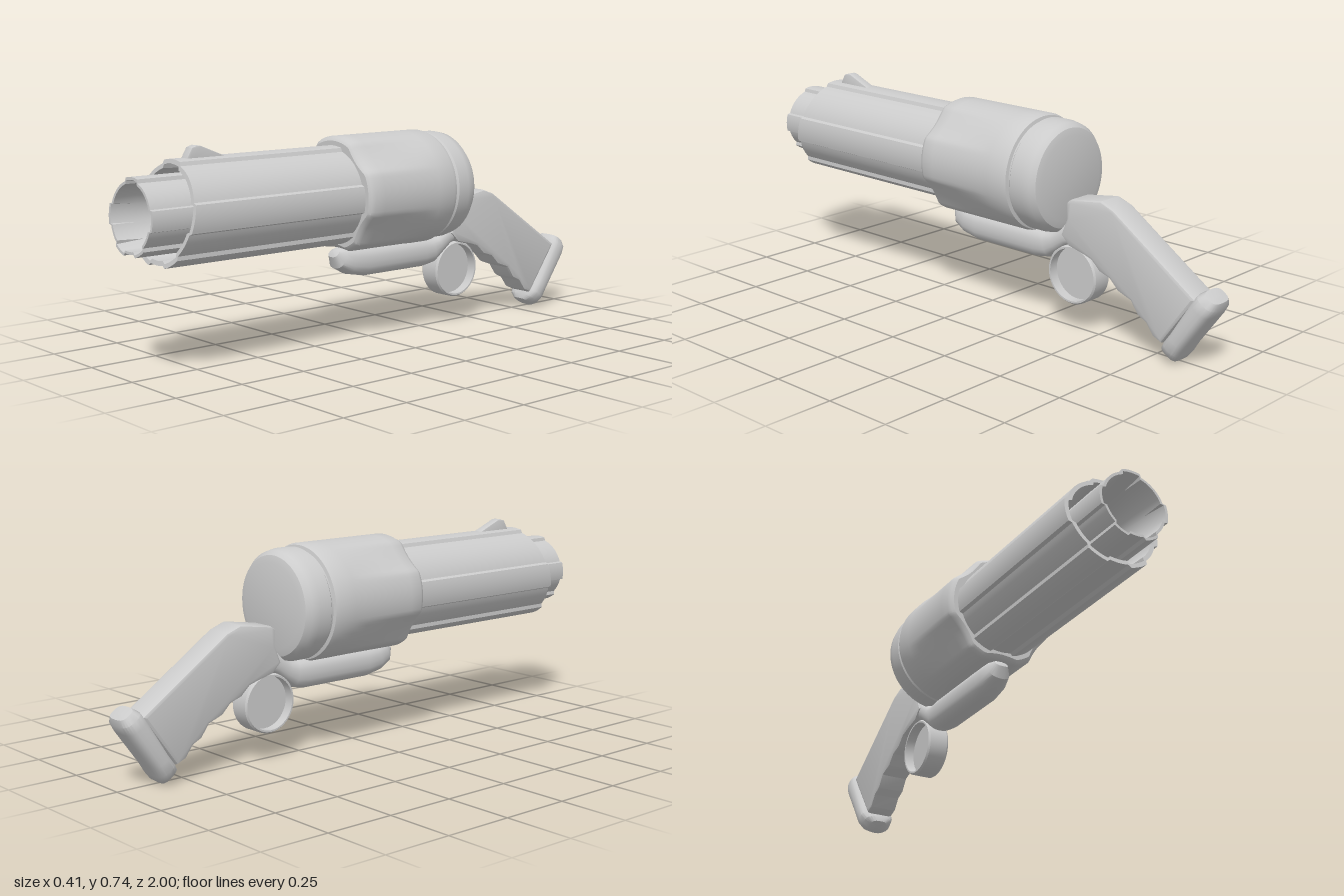
import * as THREE from 'three';
import { toCreasedNormals } from 'three/addons/utils/BufferGeometryUtils.js';

const AXIS_Y = 0.537;
const RAD = Math.PI / 180;
const material = new THREE.MeshStandardMaterial({ color: 0xcccccc });

// Smooth shading that keeps edges sharper than the given angle
function crease(geometry, degrees = 32) {
  geometry.scale(100, 100, 100);
  const out = toCreasedNormals(geometry, degrees * RAD);
  out.scale(0.01, 0.01, 0.01);
  return out;
}

function part(name, geometry) {
  const mesh = new THREE.Mesh(crease(geometry), material);
  mesh.name = name;
  return mesh;
}

// Skin a list of closed rings, each an equal-length list of [x, y, z]
function skin(rings) {
  const n = rings[0].length;
  const index = [];
  for (let i = 0; i < rings.length - 1; i++) {
    for (let j = 0; j < n; j++) {
      const k = (j + 1) % n;
      const a = i * n + j, b = i * n + k, c = (i + 1) * n + k, d = (i + 1) * n + j;
      index.push(a, b, c, a, c, d);
    }
  }
  const g = new THREE.BufferGeometry();
  g.setAttribute('position', new THREE.Float32BufferAttribute(rings.flat(2), 3));
  g.setIndex(index);
  return g;
}

// Turned form along z: profile of [radius, z, relief weight, slant], relief(angle) is added to the radius
function turned(profile, relief) {
  const n = 120;
  return skin(profile.map(([r, z, weight = 0, slant = 0]) =>
    Array.from({ length: n }, (_, j) => {
      const a = j / n * 360;
      const radius = r + weight * relief(a);
      const y = radius * Math.sin(a * RAD);
      return [radius * Math.cos(a * RAD), AXIS_Y + y, z + slant * y];
    })));
}

// Loft in the side plane: stations of [z, y, half thickness, half width]
function loft(stations, power = 0.8, n = 24) {
  const soft = v => Math.sign(v) * Math.abs(v) ** power;
  return skin(stations.map(([z, y, half, width], i) => {
    const p = stations[Math.max(i - 1, 0)];
    const q = stations[Math.min(i + 1, stations.length - 1)];
    const len = Math.hypot(q[0] - p[0], q[1] - p[1]);
    const tz = (q[0] - p[0]) / len, ty = (q[1] - p[1]) / len;
    return Array.from({ length: n }, (_, j) => {
      const a = j / n * Math.PI * 2;
      const h = half * soft(Math.sin(a));
      return [width * soft(Math.cos(a)), y + h * tz, z - h * ty];
    });
  }));
}

// Bevelled plate from a side outline of [z, y]
function plate(outline, halfWidth, bevel) {
  const shape = new THREE.Shape(outline.map(([z, y]) => new THREE.Vector2(z, y)));
  const depth = 2 * (halfWidth - bevel);
  const g = new THREE.ExtrudeGeometry(shape, {
    depth, bevelEnabled: true, bevelSize: bevel, bevelThickness: bevel,
    bevelOffset: -bevel, bevelSegments: 2,
  });
  g.translate(0, 0, -depth / 2);
  g.rotateY(-Math.PI / 2);
  return g;
}

const angleGap = (a, b) => Math.abs(((a - b + 540) % 360) - 180);
// Five raised ribs along the barrels
const ribs = a => [[0, 17], [90, 17], [180, 17], [243, 14], [297, 14]]
  .some(([c, w]) => angleGap(a, c) <= w) ? 0 : -0.011;
// Soft scallops between the ribs on the drum
const flutes = a => Math.min(0, ...[45, 135, 215, 270, 325].map(c => {
  const t = angleGap(a, c) / 19;
  return t < 1 ? -0.018 * (1 - t * t) : 0;
}));

export function createModel() {
  const group = new THREE.Group();

  // Rear cap, groove and fluted drum
  group.add(part('drum', turned([
    [0, -0.365], [0.15, -0.365], [0.175, -0.358], [0.19, -0.34], [0.196, -0.31],
    [0.196, -0.262], [0.188, -0.254], [0.188, -0.248], [0.2, -0.245], [0.206, -0.228],
    [0.206, -0.16], [0.206, -0.1, 0.3], [0.206, 0, 0.6], [0.206, 0.1, 0.8],
    [0.206, 0.145, 1], [0.2, 0.158, 1], [0.19, 0.165, 1], [0.14, 0.165], [0, 0.165],
  ], flutes)));

  // Outer ribbed sleeve with a slanted mouth
  group.add(part('barrelSleeve', turned([
    [0.174, 0.14, 1], [0.174, 0.865, 1, -0.2], [0.159, 0.865, 1, -0.2],
    [0.155, 0.75, 1, -0.2], [0.11, 0.6],
  ], ribs)));

  // Inner barrel with a tapering bore
  group.add(part('innerBarrel', turned([
    [0.128, 0.55, 1], [0.128, 0.991, 1, -0.06], [0.119, 0.991, 1, -0.06],
    [0.108, 0.9], [0.022, 0.3], [0, 0.3],
  ], ribs)));

  // Front sight
  group.add(part('frontSight', plate(
    [[0.785, 0.68], [0.785, 0.71], [0.765, 0.744], [0.745, 0.75], [0.73, 0.748],
      [0.62, 0.703], [0.62, 0.68]].reverse(), 0.018, 0.004)));

  // Underframe sweeping up into the grip
  group.add(part('underframe', loft([
    [0.166, 0.335, 0, 0], [0.162, 0.33, 0.018, 0.025], [0.14, 0.312, 0.042, 0.042],
    [0.1, 0.298, 0.05, 0.052], [0.04, 0.291, 0.055, 0.056], [-0.24, 0.291, 0.055, 0.056],
    [-0.285, 0.294, 0.05, 0.053], [-0.32, 0.31, 0.038, 0.05], [-0.36, 0.335, 0.034, 0.048],
    [-0.42, 0.37, 0.05, 0.045], [-0.43, 0.375, 0, 0],
  ])));

  // Grip with finger waves along its underside
  group.add(part('grip', plate([
    [-0.365, 0.35], [-0.39, 0.41], [-0.39, 0.47], [-0.405, 0.48], [-0.535, 0.5],
    [-0.59, 0.48], [-0.93, 0.25], [-0.8, 0.07], [-0.765, 0.085], [-0.735, 0.125],
    [-0.7, 0.142], [-0.67, 0.185], [-0.615, 0.205], [-0.58, 0.24], [-0.535, 0.255],
    [-0.5, 0.288], [-0.46, 0.3], [-0.4, 0.315],
  ].reverse(), 0.054, 0.012)));

  // Rounded butt plate
  group.add(part('buttPlate', loft([
    [-0.978, 0.268, 0, 0], [-0.975, 0.264, 0.03, 0.045], [-0.963, 0.246, 0.041, 0.063],
    [-0.945, 0.219, 0.042, 0.069], [-0.86, 0.092, 0.036, 0.069], [-0.838, 0.059, 0.038, 0.068],
    [-0.824, 0.038, 0.038, 0.056], [-0.815, 0.024, 0.03, 0.034], [-0.812, 0.02, 0, 0],
  ], 0.65)));

  // Trigger ring with a recessed web
  const ring = new THREE.LatheGeometry([
    [0, -0.005], [0.094, -0.005], [0.094, -0.041], [0.1, -0.041], [0.105, -0.034],
    [0.105, 0.034], [0.1, 0.041], [0.094, 0.041], [0.094, 0.005], [0, 0.005],
  ].map(([r, h]) => new THREE.Vector2(r, h)), 40);
  ring.rotateZ(Math.PI / 2);
  ring.translate(0, 0.21, -0.405);
  group.add(part('triggerRing', ring));

  return group;
}
